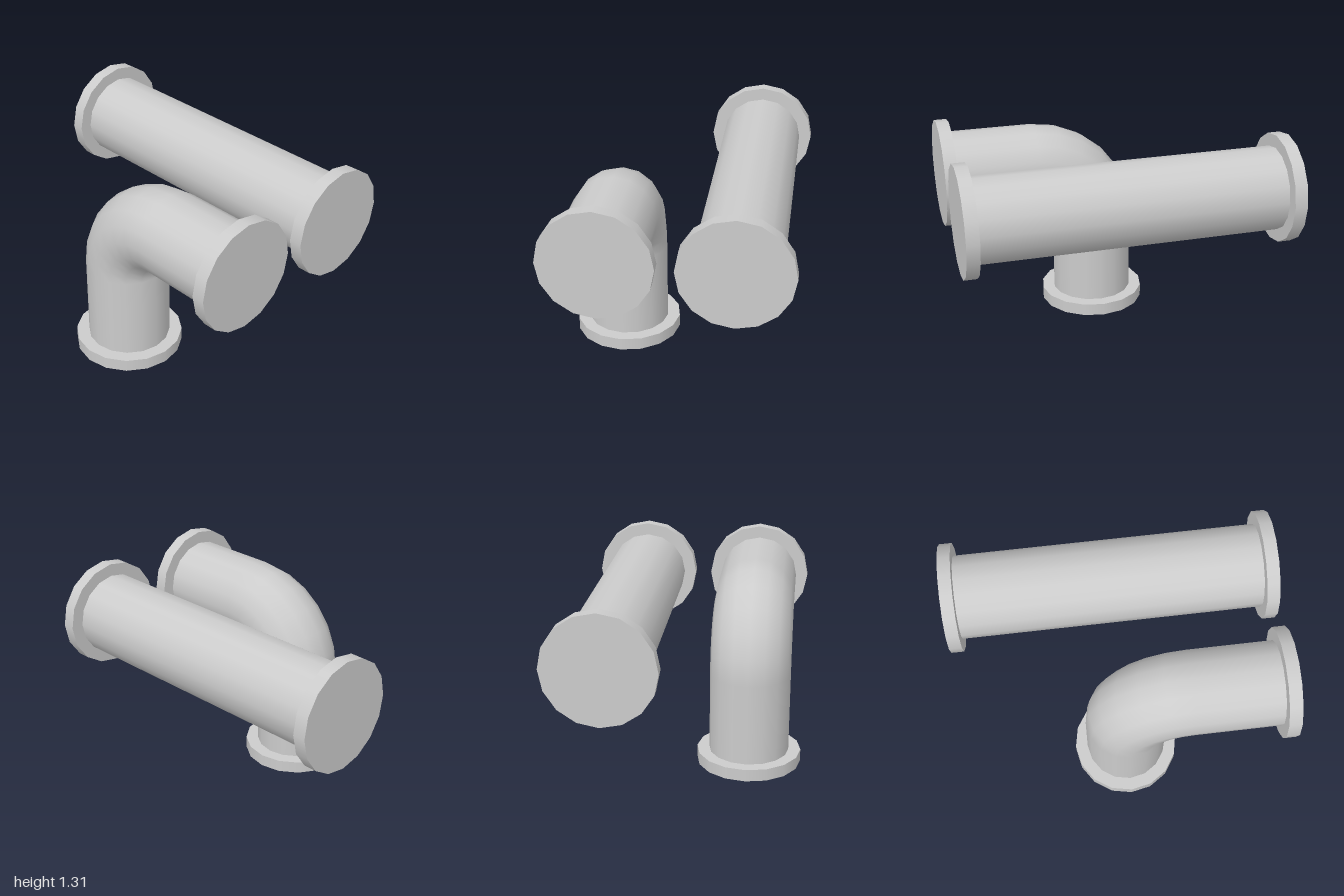
import * as THREE from 'three';

const SIDES = 16;
const PIPE_R = 0.255;
const FLANGE_R = 0.333;
const FLANGE_T = 0.078;
const AXIS_Y = 0.978; // height of the horizontal pipe axes
const BEND_R = 0.38;
const BEND_X = 0.403; // centre of the bend
const BEND_Y = AXIS_Y - BEND_R;
const PIPE_Z = 0.386;

export function createModel() {
  const model = new THREE.Group();
  const material = new THREE.MeshStandardMaterial({ color: 0xcccccc });

  const add = (parent, name, geometry) => {
    const mesh = new THREE.Mesh(geometry, material);
    mesh.name = name;
    parent.add(mesh);
    return mesh;
  };

  // Cylinder along x, from x0 to x1
  const alongX = (parent, name, radius, x0, x1, open) => {
    const geometry = new THREE.CylinderGeometry(radius, radius, x1 - x0, SIDES, 1, open);
    geometry.rotateZ(-Math.PI / 2);
    add(parent, name, geometry).position.set((x0 + x1) / 2, AXIS_Y, 0);
  };

  // Cylinder along y, from y0 to y1
  const alongY = (parent, name, radius, x, y0, y1, open) => {
    const geometry = new THREE.CylinderGeometry(radius, radius, y1 - y0, SIDES, 1, open);
    add(parent, name, geometry).position.set(x, (y0 + y1) / 2, 0);
  };

  // Straight pipe with a flange at each end
  const straight = new THREE.Group();
  straight.name = 'straightPipe';
  straight.position.z = -PIPE_Z;
  alongX(straight, 'straightTube', PIPE_R, -1 + FLANGE_T, 1 - FLANGE_T, true);
  alongX(straight, 'rightFlange', FLANGE_R, -1, -1 + FLANGE_T, false);
  alongX(straight, 'leftFlange', FLANGE_R, 1 - FLANGE_T, 1, false);
  model.add(straight);

  // Elbow pipe: upright leg, quarter bend, horizontal arm
  const elbow = new THREE.Group();
  elbow.name = 'elbowPipe';
  elbow.position.z = PIPE_Z;
  const legX = BEND_X - BEND_R;
  alongY(elbow, 'bottomFlange', FLANGE_R, legX, 0, FLANGE_T, false);
  alongY(elbow, 'elbowLeg', PIPE_R, legX, FLANGE_T, BEND_Y, true);
  const bend = new THREE.TorusGeometry(BEND_R, PIPE_R, SIDES, 6, Math.PI / 2);
  bend.rotateZ(Math.PI / 2);
  add(elbow, 'elbowBend', bend).position.set(BEND_X, BEND_Y, 0);
  alongX(elbow, 'elbowArm', PIPE_R, BEND_X, 1 - FLANGE_T, true);
  alongX(elbow, 'armFlange', FLANGE_R, 1 - FLANGE_T, 1, false);
  model.add(elbow);

  return model;
}
